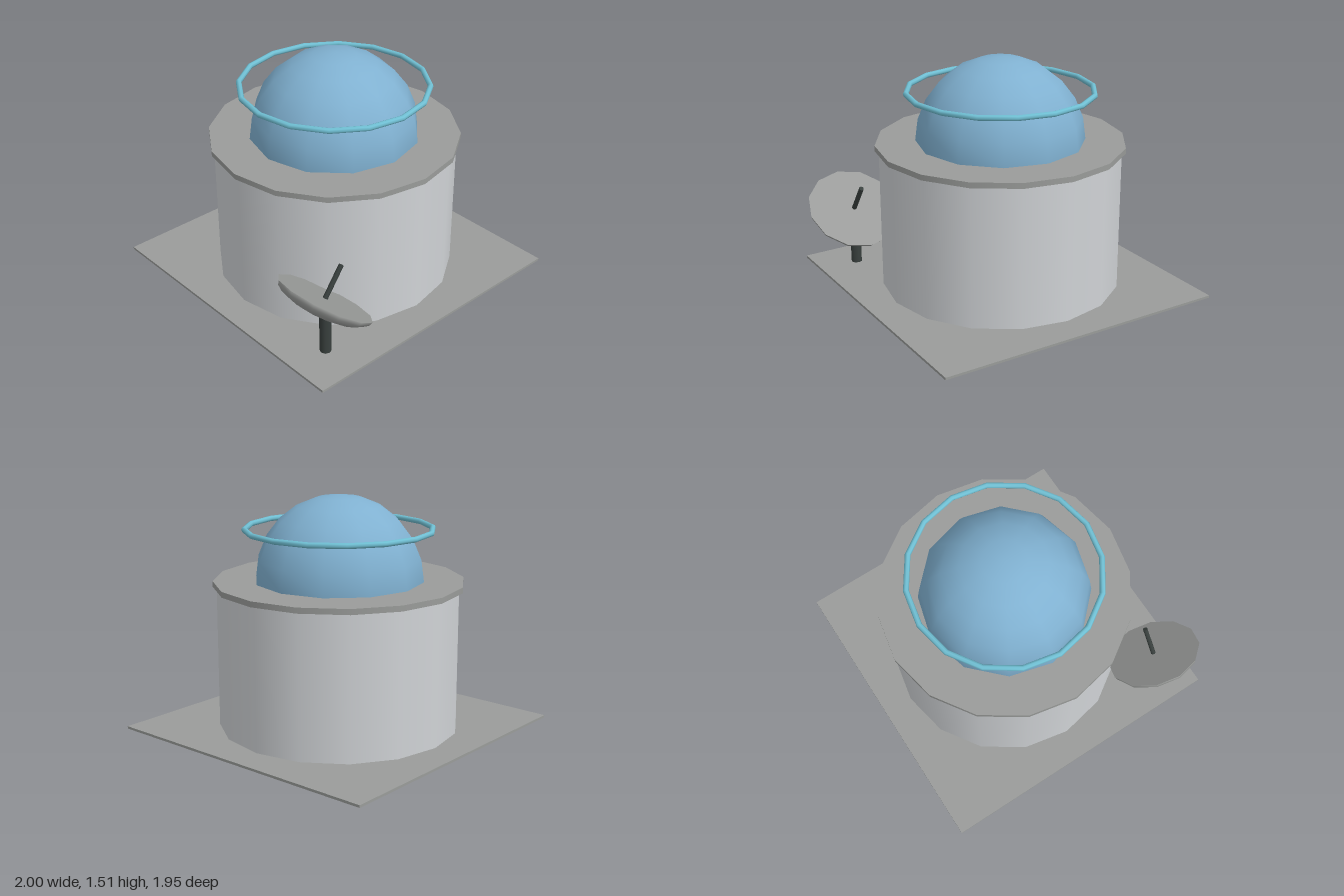
import * as THREE from 'three';

const material = (name, color) => {
  const m = new THREE.MeshStandardMaterial({ color });
  m.name = name;
  return m;
};

export function createModel() {
  const lightGrey = material('light grey wall', 0xd0d3d6);
  const grey = material('mid grey', 0x9a9c9a);
  const blue = material('dome blue', 0x80b1d1);
  const cyan = material('ring cyan', 0x70c0d4);
  const dark = material('dark metal', 0x39403e);

  const model = new THREE.Group();
  model.name = 'domedStation';

  const add = (parent, name, geometry, mat, x = 0, y = 0, z = 0) => {
    const mesh = new THREE.Mesh(geometry, mat);
    mesh.name = name;
    mesh.position.set(x, y, z);
    parent.add(mesh);
    return mesh;
  };

  // Main building, stacked on a square ground slab
  const building = new THREE.Group();
  building.name = 'building';
  building.position.x = -0.0275;
  model.add(building);

  add(building, 'baseSlab', new THREE.BoxGeometry(1.945, 0.016, 1.945), grey, 0, 0.008);
  add(building, 'drumWall', new THREE.CylinderGeometry(0.778, 0.778, 0.924, 16), lightGrey, 0, 0.474);
  add(building, 'roofRim', new THREE.CylinderGeometry(0.803, 0.803, 0.036, 16), grey, 0, 0.952);
  add(building, 'dome',
    new THREE.SphereGeometry(0.544, 12, 6, 0, Math.PI * 2, 0, Math.PI / 2), blue, 0, 0.97);

  // Ring floating around the dome
  const ring = add(building, 'domeRing', new THREE.TorusGeometry(0.598, 0.018, 8, 16), cyan, 0, 1.296);
  ring.rotation.x = Math.PI / 2;

  // Antenna: upright post with a dish tilted back toward the building
  const antenna = new THREE.Group();
  antenna.name = 'antenna';
  antenna.position.set(0.685, 0, 0.718);
  model.add(antenna);
  add(antenna, 'antennaPost', new THREE.CylinderGeometry(0.037, 0.037, 0.335, 8), dark, 0, 0.1825);

  const dish = new THREE.Group();
  dish.name = 'dish';
  dish.position.y = 0.405;
  dish.rotation.x = -0.615;
  antenna.add(dish);

  const bowl = new THREE.SphereGeometry(0.312, 12, 6, 0, Math.PI * 2, Math.PI / 2, Math.PI / 2);
  bowl.scale(1, 0.1 / 0.312, 1);
  add(dish, 'dishBowl', bowl, grey);
  add(dish, 'dishFace', new THREE.CircleGeometry(0.312, 12).rotateX(-Math.PI / 2), grey);
  add(dish, 'feedRod', new THREE.CylinderGeometry(0.016, 0.016, 0.25, 8), dark, 0, 0.095);

  return model;
}
